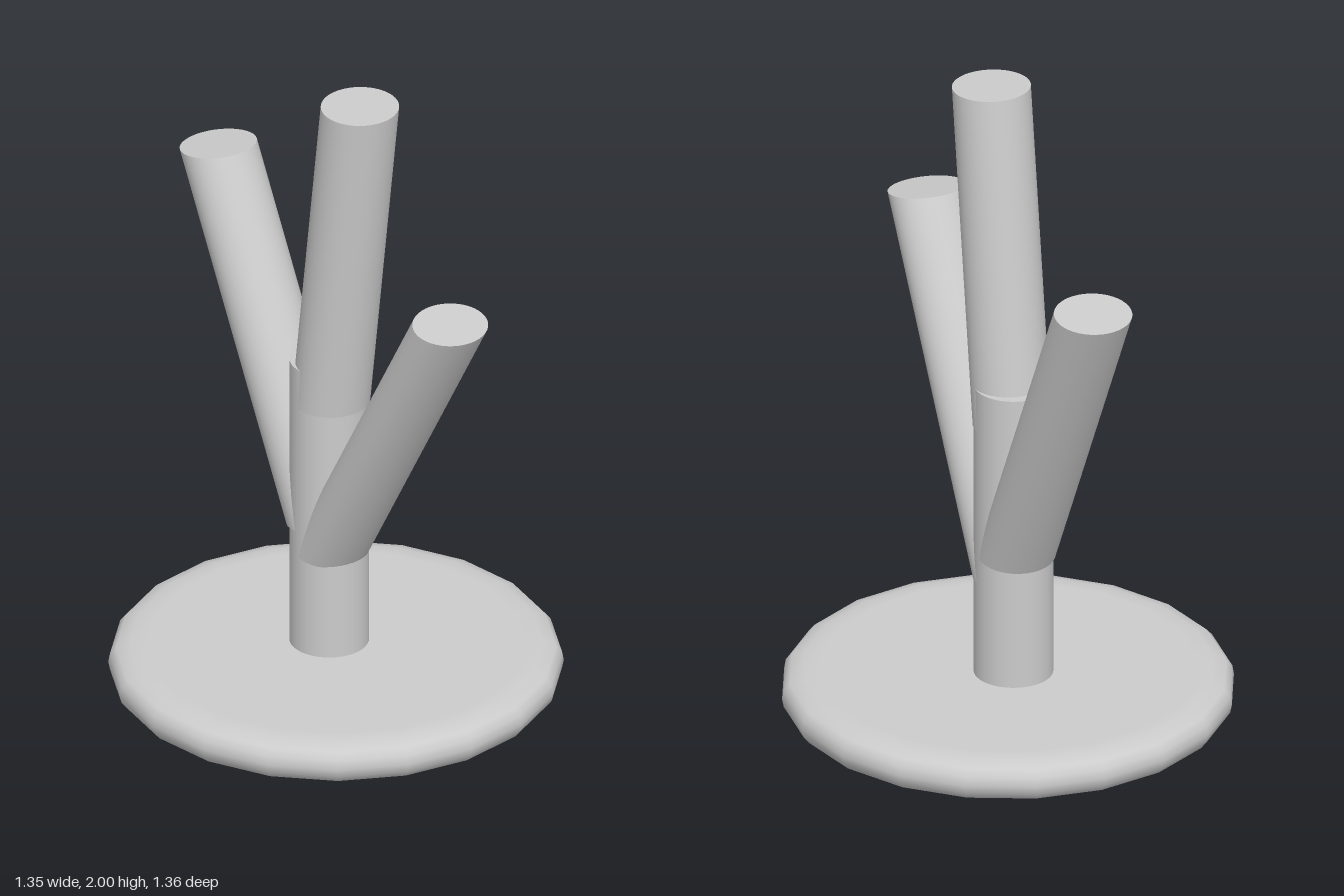
import * as THREE from 'three';

const CENTER_X = -0.005;
const RADIUS = 0.118;

export function createModel() {
  const group = new THREE.Group();
  const material = new THREE.MeshStandardMaterial({ color: 0xcccccc });
  const add = (name, geometry) => {
    const mesh = new THREE.Mesh(geometry, material);
    mesh.name = name;
    group.add(mesh);
    return mesh;
  };

  // Round base with a soft rim, 20 sides
  const rim = [
    [0, 0.003], [0.56, 0.003], [0.61, 0.008], [0.65, 0.022], [0.668, 0.045], [0.673, 0.07],
    [0.668, 0.097], [0.65, 0.118], [0.61, 0.131], [0.56, 0.135], [0, 0.135],
  ].map(([r, y]) => new THREE.Vector2(r, y));
  add('base', new THREE.LatheGeometry(rim, 20)).position.z = 0.005;

  // Upright trunk
  const trunk = add('trunk', new THREE.CylinderGeometry(RADIUS, RADIUS, 0.98, 40));
  trunk.position.set(CENTER_X, 0.59, -0.022);

  // Slanted branch: a cylinder sheared so its ends stay nearly level.
  // front and back are the [z, y] corners of the top end, foot the front corner of the bottom end.
  const branch = (name, front, back, foot) => {
    const point = ([z, y]) => new THREE.Vector3(CENTER_X, y, z);
    const f = point(front);
    const across = f.clone().sub(point(back)).multiplyScalar(0.5);
    const axis = f.clone().sub(point(foot));
    const center = f.clone().sub(across).addScaledVector(axis, -0.5);
    const shear = new THREE.Matrix4()
      .makeBasis(new THREE.Vector3(RADIUS, 0, 0), axis, across)
      .setPosition(center);
    add(name, new THREE.CylinderGeometry(1, 1, 1, 40).applyMatrix4(shear));
  };
  branch('frontBranch', [0.68, 1.442], [0.478, 1.475], [0.09, 0.432]);
  branch('middleBranch', [0.243, 1.993], [0.018, 2.0], [0.1, 0.945]);
  branch('backBranch', [-0.465, 1.575], [-0.68, 1.545], [0.065, 0.545]);

  return group;
}
